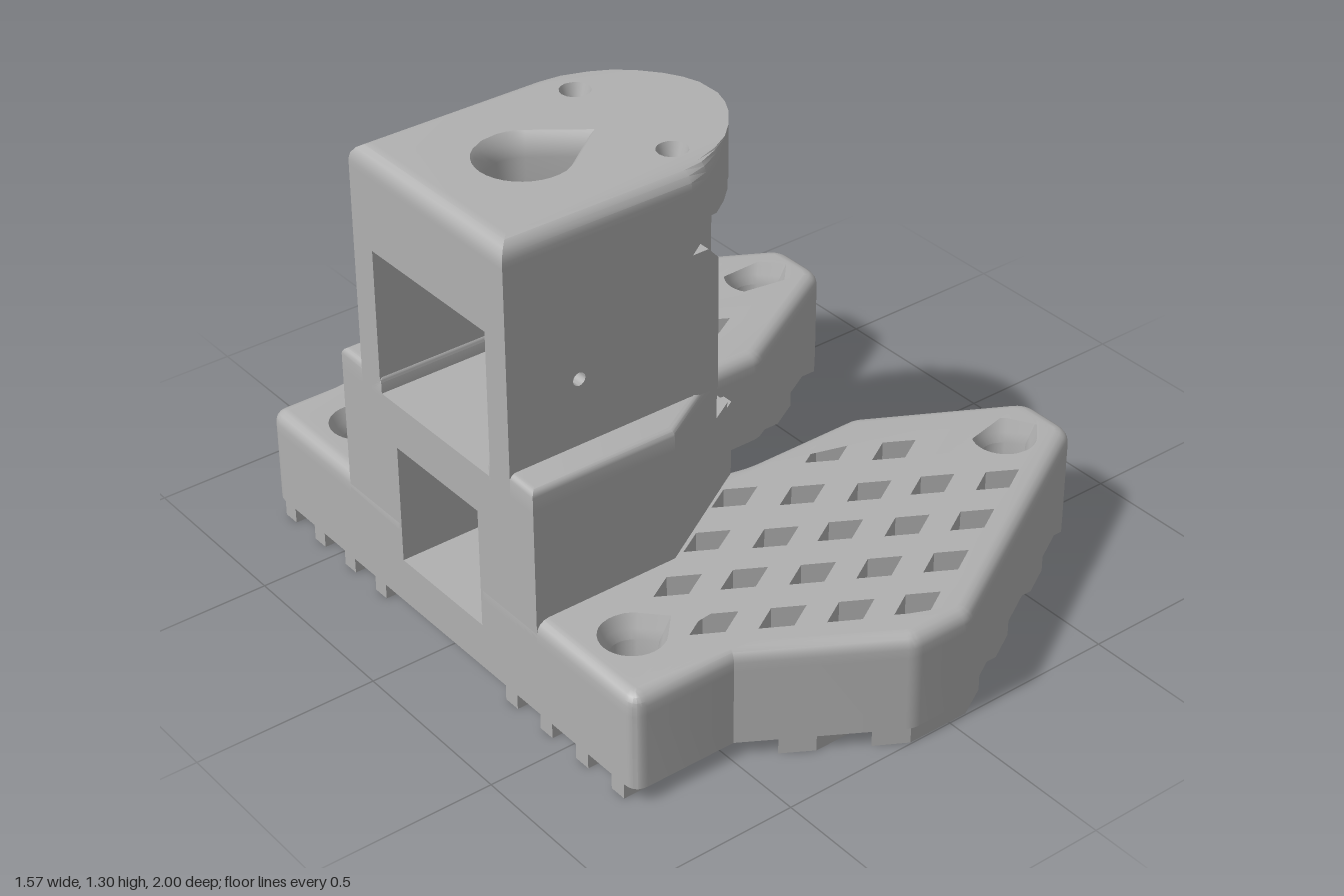
import * as THREE from 'three';
import { toCreasedNormals } from 'three/addons/utils/BufferGeometryUtils.js';

const grey = new THREE.MeshStandardMaterial({ color: 0xb0b0b0 });
grey.name = 'plain grey';

// round the corners of a plan outline; third value of a point is its corner cut
function roundCorners(pts) {
  const out = [];
  pts.forEach(([x, z, cut = 0], i) => {
    if (!cut) return out.push([x, z]);
    const p = new THREE.Vector2(x, z);
    const toward = (q) => new THREE.Vector2(q[0], q[1]).sub(p).setLength(cut).add(p);
    const a = toward(pts[(i + pts.length - 1) % pts.length]);
    const b = toward(pts[(i + 1) % pts.length]);
    new THREE.QuadraticBezierCurve(a, p, b).getPoints(5).forEach((v) => out.push([v.x, v.y]));
  });
  return out;
}

// shrink an outline inwards by d; third value of a point scales its own shift
function inset(pts, d) {
  const area = pts.reduce((s, p, i) => {
    const q = pts[(i + 1) % pts.length];
    return s + p[0] * q[1] - q[0] * p[1];
  }, 0);
  const n = pts.length, sign = Math.sign(area);
  const normal = (a, b) => new THREE.Vector2(-(b[1] - a[1]), b[0] - a[0]).normalize().multiplyScalar(sign);
  return pts.map((p, i) => {
    const n1 = normal(pts[(i + n - 1) % n], p), n2 = normal(p, pts[(i + 1) % n]);
    const k = (d * (p[2] ?? 1)) / (1 + n1.dot(n2));
    return [p[0] + (n1.x + n2.x) * k, p[1] + (n1.y + n2.y) * k];
  });
}

const key = (x, y) => `${Math.round(Math.fround(x) * 1e4)},${Math.round(Math.fround(y) * 1e4)}`;

// upright prism from a plan outline, with a rounded top edge and holes that flare near the top
function prism(plan, y0, y1, r = 0, holes = []) {
  const sink = 0.06;
  const path = (pts) => pts.map(([x, z]) => new THREE.Vector2(x, -z));
  const outline = THREE.ShapeUtils.isClockWise(path(plan)) ? [...plan].reverse() : plan;
  const shape = new THREE.Shape(path(outline));
  holes.forEach((h) => shape.holes.push(new THREE.Path(path(h.pts))));
  const levels = [[y0, 0]];
  if (r) {
    levels.push([y1 - sink, 0]);
    for (let k = 0; k <= 4; k++) {
      const a = (k * Math.PI) / 8;
      levels.push([y1 - r + r * Math.sin(a), r * (1 - Math.cos(a))]);
    }
  } else levels.push([y1, 0]);
  const steps = levels.length - 1;
  const geo = new THREE.ExtrudeGeometry(shape, { depth: steps, steps, bevelEnabled: false });
  const rings = levels.map(([, d]) => inset(outline, d));
  const edge = new Map(outline.map((p, i) => [key(p[0], -p[1]), i]));
  const owner = new Map();
  holes.forEach((h) => h.pts.forEach((p) => owner.set(key(p[0], -p[1]), h)));
  const pos = geo.attributes.position;
  for (let i = 0; i < pos.count; i++) {
    let x = pos.getX(i), y = pos.getY(i);
    const level = Math.round(pos.getZ(i)), k = key(x, y), h = owner.get(k);
    const height = levels[level][0];
    if (edge.has(k)) {
      const p = rings[level][edge.get(k)];
      x = p[0];
      y = -p[1];
    } else if (h && h.flare) {
      const t = Math.max(0, (height - y1 + sink) / sink);
      const s = 1 + (h.flare - 1) * Math.pow(t, h.power);
      x = h.x + (x - h.x) * s;
      y = -h.z + (y + h.z) * s;
    }
    pos.setXYZ(i, x, y, height);
  }
  geo.rotateX(-Math.PI / 2);
  return toCreasedNormals(geo, 0.45);
}

// teardrop hole whose point faces +x
function teardrop(x, z, r, flare, angle, power) {
  const pts = [[x + r / Math.cos(angle), z]];
  for (let i = 0; i <= 24; i++) {
    const a = angle + (i / 24) * (Math.PI * 2 - 2 * angle);
    pts.push([x + r * Math.cos(a), z + r * Math.sin(a)]);
  }
  return { x, z, pts, flare, power };
}

function roundHole(x, z, r, flare) {
  const pts = [];
  for (let i = 0; i < 16; i++) pts.push([x + r * Math.cos(i * Math.PI / 8), z + r * Math.sin(i * Math.PI / 8)]);
  return { x, z, pts, flare, power: 1 };
}

export function createModel() {
  const model = new THREE.Group();
  model.name = 'bracketStand';
  const add = (name, geo) => {
    const m = new THREE.Mesh(geo, grey);
    m.name = name;
    model.add(m);
  };
  const box = (name, x0, x1, y0, y1, z0, z1) => add(name, new THREE.BoxGeometry(x1 - x0, y1 - y0, z1 - z0)
    .translate((x0 + x1) / 2, (y0 + y1) / 2, (z0 + z1) / 2));

  const foot = roundCorners([
    [-0.785, 0.18], [-0.785, 0.775, 0.04], [-0.49, 0.775], [-0.12, 1, 0.02], [0.05, 1, 0.02],
    [0.783, 0.585, 0.04], [0.783, 0.415, 0.04], [0.38, 0.19, 0.02], [0.02, 0.19, 0.04], [-0.035, 0.175],
  ]);
  // diamond rows: z, then column numbers
  const rows = [[0.9, 0], [0.82, -1, 1], [0.735, -2, 0, 2], [0.65, -3, -1, 1, 3], [0.56, -2, 0, 2],
    [0.48, -3, -1, 1], [0.385, -2, 0, 2], [0.285, -1, 1]];

  for (const s of [1, -1]) {
    const side = s > 0 ? 'left' : 'right';
    const flip = (pts) => pts.map(([x, z]) => [x, z * s]);

    // foot plate with slightly skewed diamond lattice and two countersunk holes
    const holes = [teardrop(0.62, 0.505 * s, 0.058, 1.45, 0.75, 1), teardrop(-0.635, 0.575 * s, 0.058, 1.45, 0.75, 1)];
    for (const [rowZ, ...cols] of rows) for (const c of cols) {
      const x = -0.03 + (0.9 - rowZ) * 0.147 + c * 0.155, z = rowZ - c * 0.0035;
      holes.push({ pts: flip([[x - 0.074, z], [x, z + 0.043], [x + 0.074, z], [x, z - 0.043]]) });
    }
    add(side + 'FootPlate', prism(flip(foot), 0.043, 0.315, 0.035, holes));

    // ribs under the foot, trimmed to its outline
    for (const z of [0.285, 0.427, 0.57, 0.71, 0.855, 0.972]) {
      const span = (zz) => {
        const xs = [];
        foot.forEach((p, i) => {
          const q = foot[(i + 1) % foot.length];
          if ((p[1] > zz) !== (q[1] > zz)) xs.push(p[0] + ((zz - p[1]) / (q[1] - p[1])) * (q[0] - p[0]));
        });
        return [Math.min(...xs), Math.max(...xs)];
      };
      const h = 0.024, [a0, a1] = span(z - h), [b0, b1] = span(z + h);
      add(side + 'FootRib', prism(flip([[a0, z - h], [a1, z - h], [b1, z + h], [b0, z + h]]), 0, 0.05));
    }

    // tower base walls, tapering towards the opening
    add(side + 'BaseWall', prism(flip([[-0.785, 0.17], [-0.785, 0.4], [-0.37, 0.4], [-0.035, 0.2], [-0.035, 0.17]]), 0.043, 0.53));
    add(side + 'BaseShoulder', prism(flip([[-0.785, 0.225], [-0.785, 0.4], [-0.37, 0.4], [-0.125, 0.254], [-0.125, 0.225]]), 0.53, 0.688, 0.018));
    add(side + 'BaseLip', prism(flip([[-0.125, 0.17], [-0.125, 0.254], [-0.06, 0.215], [-0.06, 0.17]]), 0.53, 0.545));

    // upper wall with a small cross hole; its outer front edge is cut back
    const wall = new THREE.Shape([[-0.785, 0.525], [-0.125, 0.525], [-0.125, 1.155], [-0.785, 1.155]].map((p) => new THREE.Vector2(...p)));
    wall.holes.push(new THREE.Path().absarc(-0.58, 0.87, 0.018, 0, Math.PI * 2, true));
    const wallGeo = new THREE.ExtrudeGeometry(wall, { depth: 0.08, bevelEnabled: false, curveSegments: 8 });
    const pos = wallGeo.attributes.position;
    for (let i = 0; i < pos.count; i++) {
      const outer = (pos.getZ(i) > 0.04) === (s > 0);
      if (outer && pos.getX(i) > -0.2) pos.setX(i, -0.245);
    }
    wallGeo.translate(0, 0, s > 0 ? 0.23 : -0.31);
    add(side + 'TowerWall', toCreasedNormals(wallGeo, 0.45));

    // guide fin in front of the wall
    const fin = new THREE.Shape([[-0.27, 0.68], [-0.165, 0.68], [-0.165, 1.045], [-0.195, 1.078], [-0.27, 1.078]].map((p) => new THREE.Vector2(...p)));
    add(side + 'GuideFin', new THREE.ExtrudeGeometry(fin, { depth: 0.04, bevelEnabled: false }).translate(0, 0, s > 0 ? 0.268 : -0.308));

    // thicker rim under the sides of the roof
    add(side + 'RoofLip', prism(flip([[-0.3, 0.13], [-0.3, 0.26], [-0.125, 0.25], [-0.075, 0.215], [-0.03, 0.174], [0.005, 0.13]]), 1.125, 1.16));
  }

  // roof with rounded nose, cable hole and two screw holes; the edge rounding fades out at the nose
  const nose = [[-0.245, 0.31, 1], [-0.185, 0.288, 0.5], [-0.125, 0.252, 0.15], [-0.075, 0.217, 0],
    [-0.03, 0.176, 0], [0.01, 0.127, 0], [0.035, 0.082, 0], [0.05, 0.035, 0]];
  const roof = [[-0.785, 0.31], ...nose, ...nose.map(([x, z, f]) => [x, -z, f]).reverse(), [-0.785, -0.31]];
  add('roof', prism(roof, 1.155, 1.3, 0.045, [
    teardrop(-0.5, 0, 0.1, 1.25, 0.92, 2), roundHole(-0.21, 0.19, 0.02, 2), roundHole(-0.21, -0.19, 0.02, 2)]));

  // cross members between the walls
  box('backLintel', -0.785, -0.7, 1.04, 1.16, -0.24, 0.24);
  box('towerFloor', -0.785, -0.3, 0.51, 0.64, -0.24, 0.24);
  box('frontShelf', -0.3, -0.125, 0.51, 0.528, -0.24, 0.24);
  box('baseFloor', -0.785, -0.25, 0.043, 0.172, -0.19, 0.19);

  // cable hooks below the floor
  box('hookStem', -0.5, -0.3, 0.44, 0.52, 0.13, 0.165);
  box('hookStem', -0.5, -0.3, 0.44, 0.52, 0.0, 0.02);
  box('hookLip', -0.5, -0.3, 0.44, 0.465, 0.0, 0.06);
  box('hookLip', -0.5, -0.3, 0.44, 0.465, 0.11, 0.165);
  return model;
}
